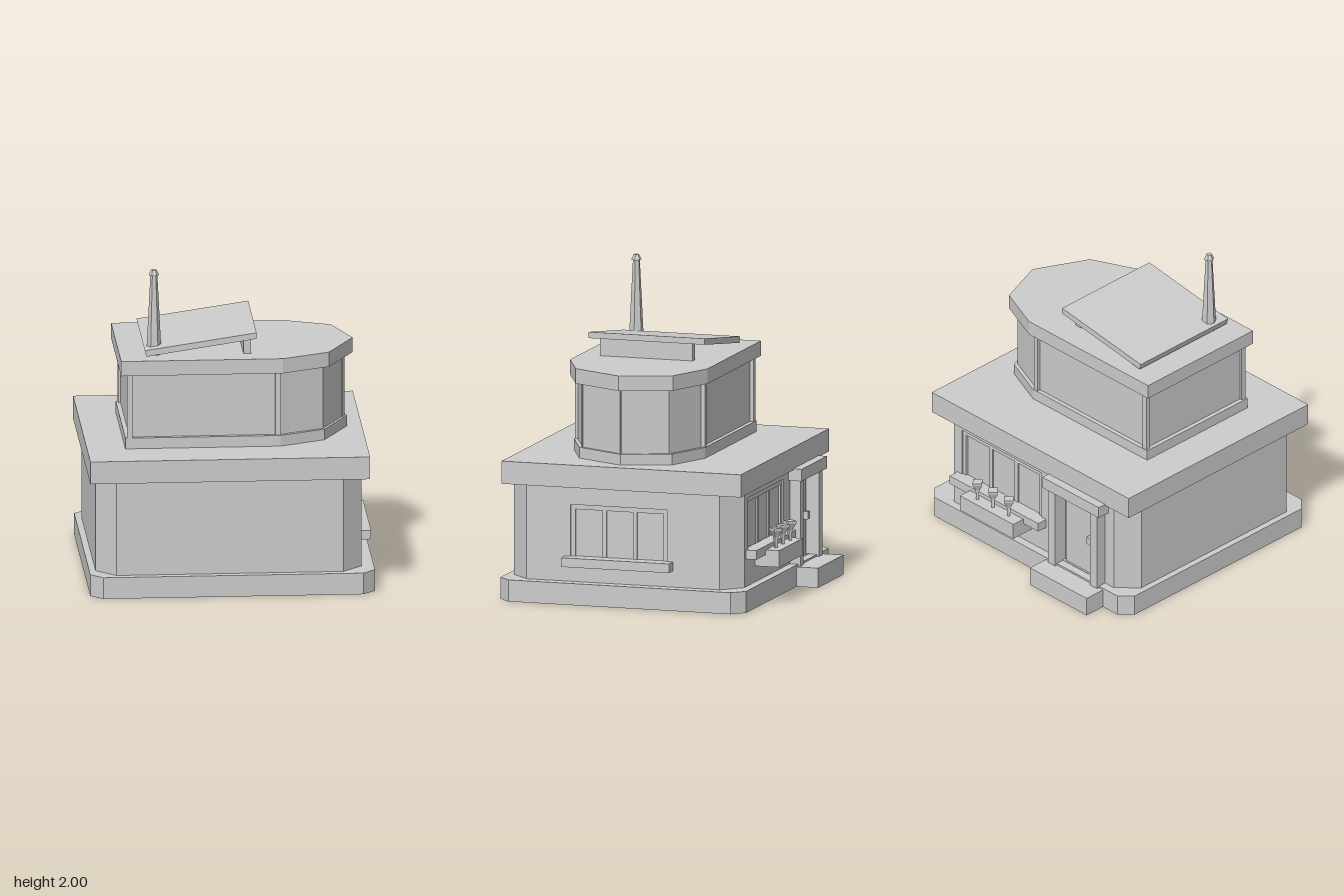
import * as THREE from 'three';

const stone = new THREE.MeshStandardMaterial({ color: 0xcccccc });
stone.name = 'plain grey';

function add(parent, geometry, name) {
  const mesh = new THREE.Mesh(geometry, stone);
  mesh.name = name;
  parent.add(mesh);
  return mesh;
}

// Box given by its extents on each axis
function box(parent, name, x0, x1, y0, y1, z0, z1) {
  const g = new THREE.BoxGeometry(x1 - x0, y1 - y0, z1 - z0);
  g.translate((x0 + x1) / 2, (y0 + y1) / 2, (z0 + z1) / 2);
  return add(parent, g, name);
}

const planPoints = plan => plan.map(([x, z]) => new THREE.Vector2(x, -z));

// Upright prism over a plan outline of [x, z] points, with an optional hole
function prism(parent, name, plan, y0, y1, hole) {
  const shape = new THREE.Shape(planPoints(plan));
  // The hole runs the opposite way round so its walls face inward
  if (hole) shape.holes.push(new THREE.Path(planPoints(hole).reverse()));
  const g = new THREE.ExtrudeGeometry(shape, { depth: y1 - y0, bevelEnabled: false });
  g.rotateX(-Math.PI / 2).translate(0, y0, 0);
  return add(parent, g, name);
}

// Move every edge of a plan inward by d
function inset(plan, d) {
  const n = plan.length;
  const normal = i => {
    const [a, b] = [plan[i % n], plan[(i + 1) % n]];
    return new THREE.Vector2(a[1] - b[1], b[0] - a[0]).normalize();
  };
  return plan.map(([x, z], i) => {
    const p = normal(i + n - 1), q = normal(i);
    const k = d / (1 + p.dot(q));
    return [x + (p.x + q.x) * k, z + (p.y + q.y) * k];
  });
}

// Thin-walled cover, open underneath
function shell(parent, name, plan, y0, y1) {
  const t = 0.004;
  prism(parent, name + 'Rim', plan, y0, y1 - t, inset(plan, t));
  prism(parent, name + 'Top', plan, y1 - t, y1);
}

const rectPlan = (x0, x1, z0, z1) => [[x0, z0], [x1, z0], [x1, z1], [x0, z1]];

// Rectangle plan with cut corners
function cutRect(x0, x1, z0, z1, c) {
  return [[x0, z0 + c], [x0 + c, z0], [x1 - c, z0], [x1, z0 + c],
    [x1, z1 - c], [x1 - c, z1], [x0 + c, z1], [x0, z1 - c]];
}

// Upright panel with rectangular holes, each [x0, x1, y0, y1]
function panel(parent, name, [x0, x1, y0, y1], holes, depth) {
  const rect = (a, b, c, d) => [[a, c], [b, c], [b, d], [a, d]].map(p => new THREE.Vector2(...p));
  const shape = new THREE.Shape(rect(x0, x1, y0, y1));
  for (const h of holes) shape.holes.push(new THREE.Path(rect(...h)));
  return add(parent, new THREE.ExtrudeGeometry(shape, { depth, bevelEnabled: false }), name);
}

// Frame filling an opening, with two slimmer bars dividing it in three
function windowFrame(parent, [x0, x1, y0, y1]) {
  const edge = 0.028, bar = 0.027;
  const w = (x1 - x0 - 2 * edge - 2 * bar) / 3;
  panel(parent, 'windowFrame', [x0, x1, y0, y1], [[x0 + edge, x1 - edge, y0 + 0.004, y1 - 0.03]], 0.014);
  for (const i of [1, 2]) {
    const a = x0 + edge + i * w + (i - 1) * bar;
    box(parent, 'windowBar', a, a + bar, y0, y1 - 0.02, -0.004, 0.009);
  }
}

export function createModel() {
  const model = new THREE.Group();
  model.name = 'building';

  // Ground storey: open plinth, walls with shallow bays for the pierced panels, roof slab
  shell(model, 'plinth', cutRect(-0.895, 0.89, -0.737, 0.882, 0.077), 0, 0.137);
  prism(model, 'lowerWalls', [
    [-0.855, -0.562], [-0.733, -0.684], [-0.72, -0.684], [-0.72, -0.66],
    [0.67, -0.66], [0.67, -0.684], [0.69, -0.684], [0.813, -0.562],
    [0.813, -0.55], [0.789, -0.55], [0.789, 0.695], [0.813, 0.695],
    [0.813, 0.71], [0.69, 0.833], [-0.733, 0.833], [-0.855, 0.71]], 0.136, 0.739);
  box(model, 'lowerRoof', -0.898, 0.856, 0.739, 0.883, -0.716, 0.86);

  // Side wall with window
  const side = new THREE.Group();
  side.name = 'sideWall';
  side.position.x = 0.789;
  side.rotation.y = Math.PI / 2;
  model.add(side);
  const sideHole = [-0.419, 0.217, 0.29, 0.625];
  panel(side, 'sidePanel', [-0.695, 0.55, 0.137, 0.739], [sideHole], 0.024);
  windowFrame(side, sideHole);
  shell(side, 'sideSill', rectPlan(-0.456, 0.255, 0.005, 0.101), 0.239, 0.297);

  // Back wall with window and door
  const back = new THREE.Group();
  back.name = 'backWall';
  back.position.z = -0.66;
  back.rotation.y = Math.PI;
  model.add(back);
  const backHole = [-0.62, 0.09, 0.365, 0.695];
  const doorHole = [0.27, 0.6, 0.14, 0.68];
  panel(back, 'backPanel', [-0.67, 0.72, 0.137, 0.739], [backHole, doorHole], 0.024);
  windowFrame(back, backHole);
  shell(back, 'backSill', rectPlan(-0.66, 0.13, 0.005, 0.094), 0.313, 0.371);

  // Doorway
  box(back, 'door', 0.3, 0.575, 0.137, 0.66, -0.01, 0.012);
  box(back, 'doorHandle', 0.51, 0.55, 0.37, 0.42, 0, 0.044);
  for (const x of [0.215, 0.59]) box(back, 'doorPost', x, x + 0.065, 0.124, 0.675, 0, 0.093);
  shell(back, 'doorCanopy', rectPlan(0.185, 0.688, 0.005, 0.112), 0.67, 0.747);
  shell(back, 'doorStep', rectPlan(0.185, 0.69, 0.005, 0.22), 0, 0.125);

  // Planter with three potted plants
  shell(back, 'planter', rectPlan(-0.477, -0.002, 0.005, 0.183), 0.239, 0.345);
  const plant = [[0, 0.342], [0.012, 0.342], [0.016, 0.41], [0.03, 0.435],
    [0.042, 0.455], [0.042, 0.47], [0, 0.47]];
  for (const x of [-0.098, -0.237, -0.376]) {
    const g = new THREE.LatheGeometry(plant.map(p => new THREE.Vector2(...p)), 4).toNonIndexed();
    g.computeVertexNormals();
    add(back, g, 'plant').position.set(x, 0, 0.128);
  }

  // Upper storey with a pointed bay
  const roofPlan = [[-0.686, -0.337], [0.376, -0.337], [0.682, -0.21], [0.797, 0.109],
    [0.627, 0.448], [0.33, 0.584], [-0.686, 0.584]];
  const bodyPlan = roofPlan.map(([x, z]) => [Math.max(x, -0.678), z]);
  const bandPlan = inset(bodyPlan, 0.02).map(([x, z]) => [x > 0 ? x - 0.012 : x, z]);
  prism(model, 'upperBand', bandPlan, 0.883, 0.952);
  prism(model, 'upperWalls', inset(bodyPlan, 0.048), 0.952, 1.36);
  prism(model, 'upperRoof', roofPlan, 1.36, 1.455);

  // Slim posts at the ends of the upper walls: x, z, turn
  for (const [x, z, turn] of [[-0.63, 0.541, 0], [0.298, 0.541, 0], [-0.63, -0.297, 0],
    [0.34, -0.297, 0], [0.571, 0.409, 0.43], [0.725, 0.122, 1.11]]) {
    const post = add(model, new THREE.BoxGeometry(0.032, 0.408, 0.032), 'wallPost');
    post.position.set(x, 1.156, z);
    post.rotation.y = turn;
  }

  // Tilted roof panel and its support
  const tilt = new THREE.Shape([[-0.533, 1.504], [-0.523, 1.465], [0.168, 1.568], [0.168, 1.607]]
    .map(p => new THREE.Vector2(...p)));
  const tiltGeo = new THREE.ExtrudeGeometry(tilt, { depth: 0.766, bevelEnabled: false });
  add(model, tiltGeo.translate(0, 0, -0.25), 'tiltedPanel');
  box(model, 'panelSupport', 0.091, 0.138, 1.45, 1.565, -0.16, 0.45);

  // Six-sided chimney with a flared cap
  const profile = [[0, 1.45], [0.048, 1.45], [0.022, 1.966], [0.033, 1.966], [0.017, 2], [0, 2]];
  const chimney = new THREE.LatheGeometry(profile.map(p => new THREE.Vector2(...p)), 6)
    .rotateY(Math.PI / 6).toNonIndexed();
  chimney.computeVertexNormals();
  add(model, chimney, 'chimney').position.set(-0.469, 0, 0.412);

  // Centre the building on x
  for (const part of model.children) part.position.x += 0.004;
  return model;
}
